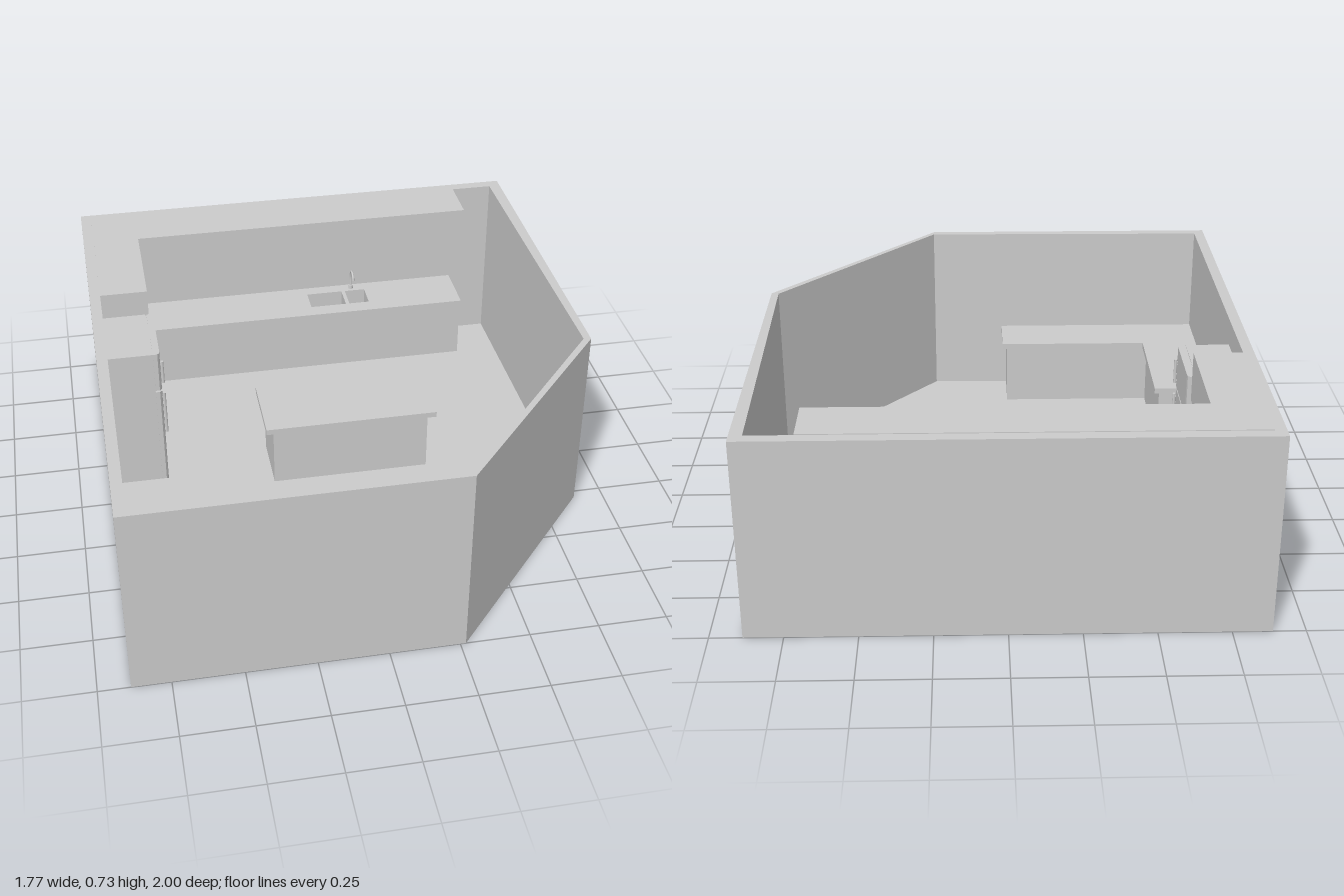
import * as THREE from 'three';

const grey = new THREE.MeshStandardMaterial({ color: 0xcccccc });

export function createModel() {
  const room = new THREE.Group();
  room.name = 'kitchenRoom';

  const add = (name, geometry, parent = room) => {
    const mesh = new THREE.Mesh(geometry, grey);
    mesh.name = name;
    parent.add(mesh);
    return mesh;
  };

  // Floor-plan points are [x, z]; each plan is extruded upwards from y0 to y1.
  // Holes run the opposite way round to the outline so their sides face inwards.
  const toPoints = (pts) => pts.map(([x, z]) => new THREE.Vector2(x, -z));
  const rect = (x0, x1, z0, z1) => [[x0, z0], [x1, z0], [x1, z1], [x0, z1]];
  const prism = (name, pts, y0, y1, holes = [], parent = room) => {
    const shape = new THREE.Shape(toPoints(pts));
    shape.holes = holes.map((h) => new THREE.Path(toPoints(h).reverse()));
    const geo = new THREE.ExtrudeGeometry(shape, { depth: y1 - y0, bevelEnabled: false });
    geo.rotateX(-Math.PI / 2).translate(0, y0, 0);
    return add(name, geo, parent);
  };
  const group = (name) => {
    const g = new THREE.Group();
    g.name = name;
    room.add(g);
    return g;
  };

  const FLOOR = 0.04, WALL = 0.73, COUNTER = 0.31, SLAB = 0.022;
  const L = -0.847, B = -0.957;

  // Shell: floor slab and walls with one cut-off corner
  const outer = [[-0.887, -1], [0.887, -1], [0.887, 0.285], [0.27, 1], [-0.887, 1]];
  const inner = [[L, B], [0.842, B], [0.86, 0.28], [0.27, 0.97], [L, 0.957]];
  prism('floor', outer, 0, FLOOR);
  prism('walls', outer, FLOOR, WALL, [inner]);

  // L-shaped plan along the back and left walls, with front edges at x and z
  const backPlan = (x, z) => [[L, B], [0.68, B], [0.68, z], [x, z], [x, -0.34], [L, -0.34]];

  // Wall cabinets
  prism('wallCabinets', backPlan(-0.67, -0.76), 0.55, 0.733);

  // Back counter with two basins sunk into the cabinets
  const sinkCounter = group('backCounter');
  const basins = [rect(0.04, 0.19, -0.905, -0.8), rect(0.205, 0.29, -0.905, -0.8)];
  const basePlan = backPlan(-0.66, -0.755);
  prism('baseCabinets', basePlan, FLOOR, 0.24, [], sinkCounter);
  prism('basinSurround', basePlan, 0.24, COUNTER - SLAB, basins, sinkCounter);
  prism('worktop', backPlan(-0.64, -0.735), COUNTER - SLAB, COUNTER, basins, sinkCounter);

  // Tap with arched spout
  const tap = group('tap');
  tap.position.set(0.235, COUNTER, -0.928);
  const spout = new THREE.CatmullRomCurve3([
    [0, 0, 0], [0, 0.06, 0], [0, 0.088, 0.012], [0, 0.095, 0.032], [0, 0.085, 0.052], [0, 0.068, 0.058],
  ].map((p) => new THREE.Vector3(...p)));
  add('spout', new THREE.TubeGeometry(spout, 20, 0.005, 8), tap);
  add('tapBase', new THREE.CylinderGeometry(0.009, 0.01, 0.016, 12), tap).position.y = 0.008;

  // Front-left L-shaped counter with overhanging worktop
  const frontPlan = (inset) => [
    [L, 0.28 + inset], [-0.62 - inset, 0.28 + inset], [-0.62 - inset, 0.75 + inset],
    [-0.02 - inset, 0.75 + inset], [-0.02 - inset, 0.957], [L, 0.957],
  ];
  const frontCounter = group('frontCounter');
  prism('baseCabinets', frontPlan(0.02), FLOOR, COUNTER - SLAB, [], frontCounter);
  prism('worktop', frontPlan(0), COUNTER - SLAB, COUNTER, [], frontCounter);

  // Island
  const island = group('island');
  prism('islandBase', rect(-0.25, 0.355, -0.21, 0.025), FLOOR, COUNTER - SLAB, [], island);
  prism('islandTop', rect(-0.28, 0.383, -0.238, 0.055), COUNTER - SLAB, COUNTER, [], island);

  // Fridge: body, two doors with rounded edges, bar handles
  const fridge = group('fridge');
  prism('fridgeBody', rect(L, -0.685, -0.332, -0.042), FLOOR, 0.637, [], fridge);
  prism('doorSeal', rect(-0.685, -0.68, -0.328, -0.046), 0.055, 0.635, [], fridge);
  const doorPlan = [[-0.68, -0.332], [-0.664, -0.332], [-0.657, -0.325], [-0.655, -0.312],
    [-0.655, -0.062], [-0.657, -0.049], [-0.664, -0.042], [-0.68, -0.042]];
  for (const [name, y0, y1, h0, h1] of [
    ['fridgeDoor', 0.055, 0.47, 0.27, 0.45],
    ['freezerDoor', 0.477, 0.637, 0.495, 0.59],
  ]) {
    prism(name, doorPlan, y0, y1, [], fridge);
    const bar = add('doorHandle', new THREE.CylinderGeometry(0.006, 0.006, h1 - h0, 10), fridge);
    bar.position.set(-0.648, (h0 + h1) / 2, -0.067);
    for (const y of [h0 + 0.01, h1 - 0.01]) {
      add('handleMount', new THREE.BoxGeometry(0.012, 0.008, 0.008), fridge).position.set(-0.655, y, -0.067);
    }
  }

  return room;
}
